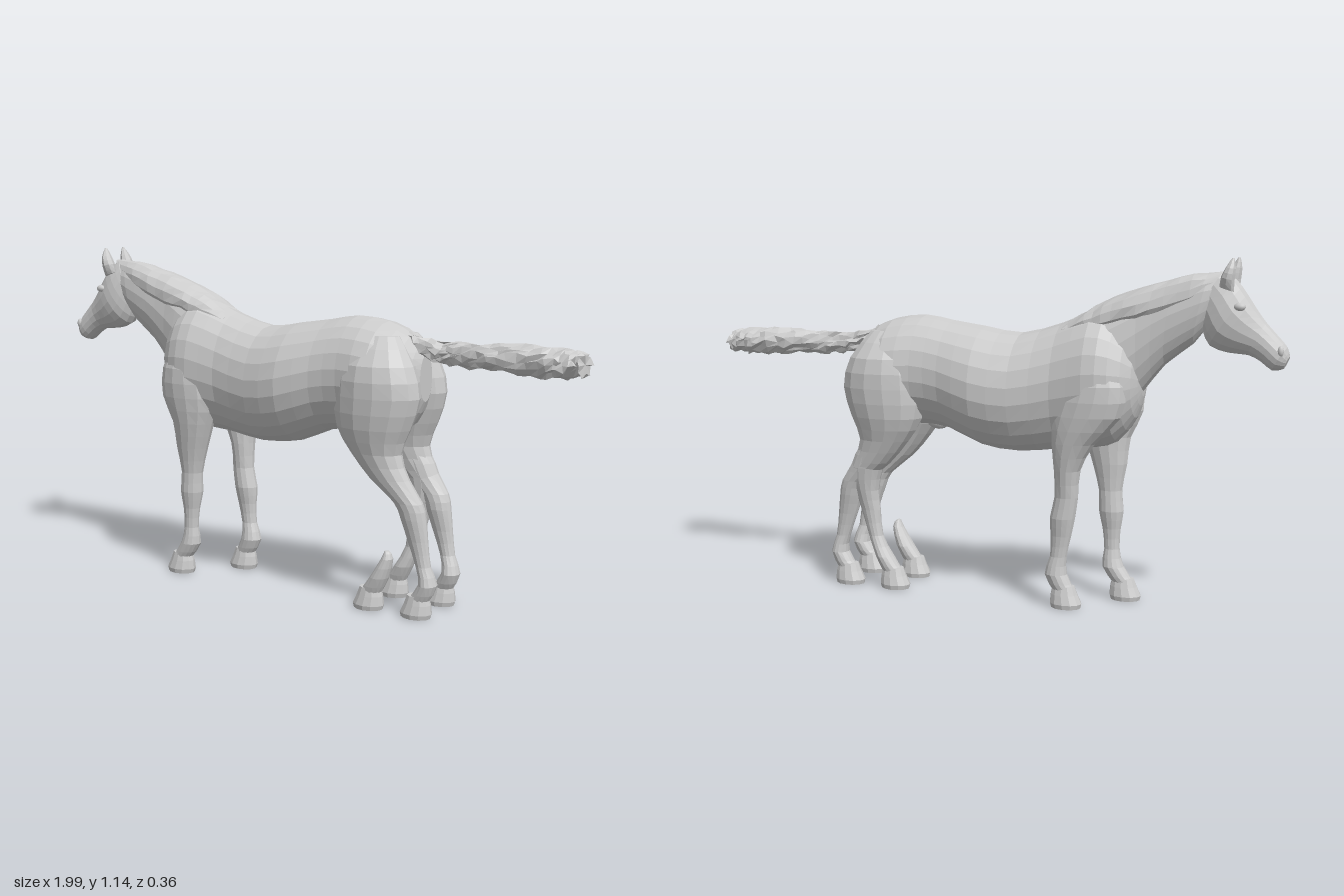
import * as THREE from 'three';

let seed = 7;
const rand = () => ((seed = (seed * 16807) % 2147483647) / 2147483647) - 0.5;

// Catmull-Rom blend of whole rings
function refine(rings, steps) {
  const out = [];
  const at = i => rings[Math.min(Math.max(i, 0), rings.length - 1)];
  for (let i = 0; i < rings.length - 1; i++) {
    for (let s = 0; s < steps; s++) {
      const t = s / steps;
      out.push(rings[i].map((p1, k) => {
        const p0 = at(i - 1)[k], p2 = at(i + 1)[k], p3 = at(i + 2)[k];
        return p1 + 0.5 * t * (p2 - p0 + t * (2 * p0 - 5 * p1 + 4 * p2 - p3 + t * (3 * (p1 - p2) + p3 - p0)));
      }));
    }
  }
  out.push(rings[rings.length - 1]);
  return out;
}

// Each ring: [edgeA x, y, edgeB x, y, half width, centre z]
function loft(rings, { sides = 14, steps = 2, rough = 0 } = {}) {
  const rows = refine(rings, steps), pos = [], idx = [];
  for (const [ax, ay, bx, by, w, z] of rows) {
    for (let j = 0; j < sides; j++) {
      const t = (j / sides) * Math.PI * 2, c = Math.cos(t) / 2;
      pos.push((ax + bx) / 2 + c * (ax - bx) + rand() * rough,
        (ay + by) / 2 + c * (ay - by) + rand() * rough,
        z + w * Math.sin(t) + rand() * rough);
    }
  }
  for (let i = 0; i < rows.length - 1; i++) {
    for (let j = 0; j < sides; j++) {
      const a = i * sides + j, b = i * sides + (j + 1) % sides;
      idx.push(a, b, a + sides, b, b + sides, a + sides);
    }
  }
  // End caps
  const last = (rows.length - 1) * sides, n = rows.length * sides;
  for (const r of [rows[0], rows[rows.length - 1]]) pos.push((r[0] + r[2]) / 2, (r[1] + r[3]) / 2, r[5]);
  for (let j = 0; j < sides; j++) {
    const k = (j + 1) % sides;
    idx.push(n, k, j, n + 1, last + j, last + k);
  }
  const g = new THREE.BufferGeometry();
  g.setAttribute('position', new THREE.Float32BufferAttribute(pos, 3));
  g.setIndex(idx);
  const flat = g.toNonIndexed();
  flat.computeVertexNormals();
  return flat;
}

// Upright sections: [top x, top y, bottom x, bottom y, half width]
const centred = rows => rows.map(r => [...r, 0]);
// Level sections of a limb: [y, front x, back x, half width, z]
const limb = (rows, side) => rows.map(([y, f, b, w, z]) => [b, y, f, y, w, z * side]);

export function createModel() {
  seed = 7;
  const coat = new THREE.MeshStandardMaterial({ color: 0xcccccc });
  coat.name = 'grey coat';
  const model = new THREE.Group();
  model.name = 'horse';
  const add = (name, geometry) => {
    const m = new THREE.Mesh(geometry, coat);
    m.name = name;
    model.add(m);
    return m;
  };

  // Trunk
  add('body', loft(centred([
    [-.545, .79, -.54, .70, .03], [-.525, .87, -.52, .63, .095], [-.46, .95, -.46, .55, .15],
    [-.38, .97, -.38, .525, .163], [-.27, .93, -.27, .515, .15], [-.13, .893, -.13, .497, .167],
    [0, .91, 0, .512, .18], [.12, .927, .12, .56, .158], [.22, .943, .22, .57, .155],
    [.33, .93, .33, .57, .165], [.42, .89, .42, .6, .115], [.465, .83, .465, .68, .04],
  ]), { sides: 22 }));

  // Neck, mane and head
  add('neck', loft(centred([
    [-.80, 1.085, -.74, .93, .045], [-.75, 1.095, -.70, .875, .058], [-.64, 1.073, -.61, .805, .07],
    [-.53, 1.043, -.535, .71, .084], [-.42, 1, -.45, .62, .11], [-.30, .935, -.36, .6, .12],
  ]), { sides: 18 }));
  add('mane', loft(centred([
    [-.81, 1.1, -.77, 1.04, .025], [-.70, 1.093, -.69, .975, .058], [-.58, 1.063, -.57, .925, .077],
    [-.45, 1.02, -.45, .9, .087], [-.36, .975, -.37, .888, .084], [-.28, .925, -.29, .885, .07],
  ]), { sides: 14, steps: 3, rough: .006 }));
  add('head', loft(centred([
    [-.998, .845, -.98, .806, .022], [-.99, .872, -.945, .80, .042], [-.967, .9, -.91, .826, .044],
    [-.925, .945, -.87, .845, .045], [-.895, .985, -.81, .85, .056], [-.865, 1.03, -.75, .87, .066],
    [-.83, 1.075, -.725, .92, .06], [-.79, 1.1, -.71, .97, .045],
  ]), { sides: 16 }));

  for (const s of [1, -1]) {
    const label = s > 0 ? 'left' : 'right';
    add(label + 'Ear', loft([
      [-.83, 1.04, -.785, 1.055, .016, s * .044], [-.832, 1.075, -.79, 1.085, .024, s * .05],
      [-.835, 1.11, -.805, 1.115, .019, s * .05], [-.83, 1.142, -.822, 1.142, .003, s * .046],
    ], { sides: 8 }));
    const eye = add(label + 'Eye', new THREE.IcosahedronGeometry(.016, 1));
    eye.position.set(-.85, .995, s * .05);
    eye.scale.set(1.2, .8, .8);
    const nostril = add(label + 'Nostril', new THREE.IcosahedronGeometry(.014, 1));
    nostril.position.set(-.975, .862, s * .034);
    nostril.scale.set(.7, 1.2, .7);
  }

  // Ragged tail
  add('tail', loft(centred([
    [.40, .9, .44, .82, .03], [.5, .872, .51, .812, .027], [.6, .872, .6, .8, .037],
    [.72, .878, .72, .797, .048], [.86, .88, .86, .788, .058], [.94, .873, .94, .79, .058],
    [.988, .865, .988, .8, .052],
  ]), { sides: 16, steps: 4, rough: .016 }));

  const sheath = add('sheath', new THREE.IcosahedronGeometry(.035, 1));
  sheath.position.set(.18, .58, 0);
  sheath.scale.set(1.2, .8, .7);

  // Hooves
  const hoof = (name, x, s) => add(name, loft(limb([
    [.072, x - .03, x + .045, .027, .083], [.045, x - .04, x + .052, .034, .083],
    [.015, x - .054, x + .055, .041, .083], [0, x - .05, x + .05, .038, .083],
  ], s), { sides: 12, steps: 1 }));

  // Rear legs with full thighs
  for (const s of [1, -1]) {
    const label = s > 0 ? 'left' : 'right';
    add(label + 'RearLeg', loft(limb([
      [.89, .27, .40, .04, .06], [.8, .21, .465, .085, .085], [.7, .19, .49, .093, .089],
      [.6, .2, .46, .08, .093], [.52, .25, .43, .058, .094], [.44, .32, .46, .044, .093],
      [.37, .405, .505, .037, .088], [.32, .43, .517, .035, .085], [.25, .455, .525, .025, .085],
      [.17, .485, .535, .023, .084], [.11, .495, .555, .036, .08], [.055, .455, .53, .028, .083],
    ], s), { sides: 14 }));
    hoof(label + 'RearHoof', .485, s);
  }

  // Forward rear limb on one side, short stub on the other
  add('forwardRearLeg', loft(limb([
    [.5, .31, .43, .045, .093], [.42, .35, .47, .042, .092], [.34, .37, .455, .035, .087],
    [.27, .365, .435, .026, .085], [.18, .357, .407, .023, .084], [.11, .32, .382, .035, .082],
    [.055, .28, .355, .028, .083],
  ], -1)));
  hoof('forwardRearHoof', .31, -1);
  add('rearStub', loft(limb([
    [.2, .37, .385, .008, .083], [.175, .36, .398, .022, .083], [.11, .32, .382, .035, .082],
    [.055, .28, .355, .028, .083],
  ], 1)));
  hoof('rearStubHoof', .31, 1);

  // Front legs, one a step ahead of the other
  add('leftFrontLeg', loft(limb([
    [.84, -.47, -.36, .04, .085], [.74, -.51, -.31, .062, .1], [.64, -.515, -.29, .064, .099],
    [.55, -.475, -.315, .056, .095], [.46, -.465, -.345, .045, .09], [.37, -.45, -.37, .034, .086],
    [.3, -.457, -.372, .036, .084], [.24, -.448, -.385, .026, .084], [.17, -.445, -.392, .023, .084],
    [.11, -.46, -.387, .034, .082], [.055, -.5, -.425, .028, .083],
  ], 1)));
  hoof('leftFrontHoof', -.467, 1);
  add('rightFrontLeg', loft(limb([
    [.84, -.47, -.36, .04, .085], [.74, -.51, -.31, .062, .1], [.64, -.495, -.27, .064, .099],
    [.55, -.41, -.265, .056, .095], [.46, -.36, -.273, .045, .09], [.37, -.352, -.273, .034, .086],
    [.3, -.342, -.257, .036, .084], [.24, -.33, -.26, .026, .084], [.17, -.315, -.258, .023, .084],
    [.11, -.315, -.24, .034, .082], [.055, -.345, -.27, .028, .083],
  ], -1)));
  hoof('rightFrontHoof', -.313, -1);

  return model;
}
